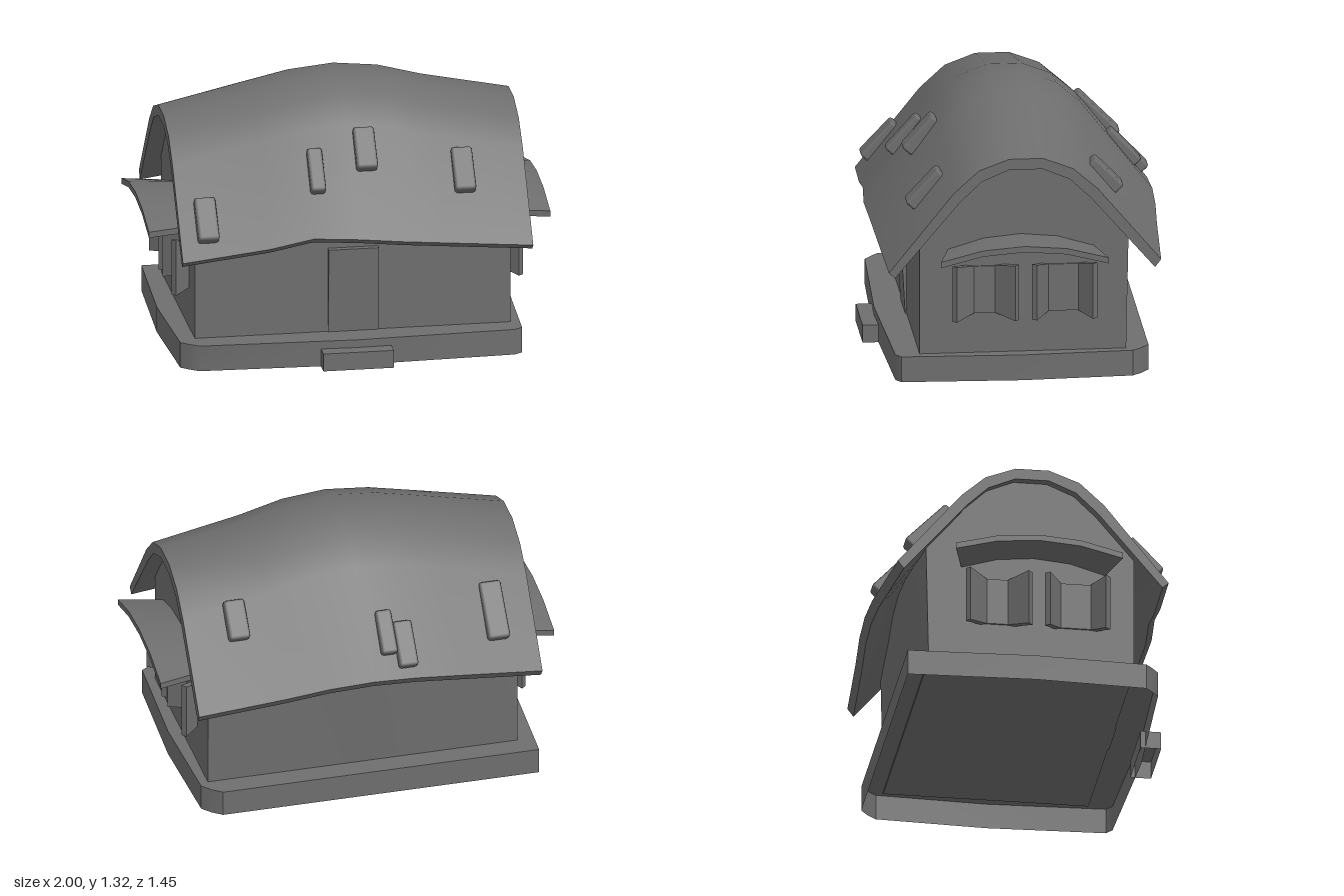
import * as THREE from 'three';
import { toCreasedNormals } from 'three/addons/utils/BufferGeometryUtils.js';
import { RoundedBoxGeometry } from 'three/addons/geometries/RoundedBoxGeometry.js';

const darkGrey = 0x6e6e6e;
const material = new THREE.MeshStandardMaterial({ color: darkGrey });
const openMaterial = new THREE.MeshStandardMaterial({ color: darkGrey, side: THREE.DoubleSide });

function addMesh(parent, name, geometry, mat = material) {
  const mesh = new THREE.Mesh(geometry, mat);
  mesh.name = name;
  parent.add(mesh);
  return mesh;
}

// Skin a row of closed rings; each ring runs counter-clockwise about the loft axis.
// Caps are strips joining opposite ring points.
function loft(rings, startCap = true) {
  const n = rings[0].length, last = (rings.length - 1) * n, index = [];
  const quad = (a, b, c, d) => index.push(a, b, c, a, c, d);
  for (let r = 0; r < rings.length - 1; r++)
    for (let j = 0; j < n; j++) {
      const k = (j + 1) % n;
      quad(r * n + j, r * n + k, (r + 1) * n + k, (r + 1) * n + j);
    }
  for (let i = 0; i < n / 2 - 1; i++) {
    const a = i, b = i + 1, c = n - 2 - i, d = n - 1 - i;
    if (startCap) quad(d, c, b, a);
    quad(last + a, last + b, last + c, last + d);
  }
  const geometry = new THREE.BufferGeometry();
  geometry.setAttribute('position', new THREE.Float32BufferAttribute(rings.flat(2), 3));
  geometry.setIndex(index);
  return toCreasedNormals(geometry, 0.6);
}

// Roof stations: x, sag (0 in the middle, 1 at the gables), lift of the front eave
const stations = [[0.875, 1, 0], [0.44, 0.48, -0.005], [0.22, 0.13, -0.015], [0, 0, 0],
  [-0.22, 0.13, 0.022], [-0.44, 0.42, 0.005], [-0.87, 1, 0]];
function sag(x) {
  const i = Math.max(1, stations.findIndex((s) => s[0] <= x));
  const [x0, s0] = stations[i - 1], [x1, s1] = stations[i];
  return s0 + (s1 - s0) * (x - x0) / (x1 - x0);
}

// Roof cross-section at the middle as [z, y], front eave to back eave.
const outer = [[0.70, 0.667], [0.34, 1.147], [0.217, 1.26], [0.066, 1.317],
  [-0.1, 1.317], [-0.25, 1.26], [-0.37, 1.155], [-0.725, 0.70]];
const inner = [[0.67, 0.64], [0.31, 1.1], [0.2, 1.205], [0.066, 1.262],
  [-0.1, 1.262], [-0.235, 1.205], [-0.34, 1.105], [-0.695, 0.66]];

function roofPoint([z, y], x, isEave) {
  const s = sag(x);
  return isEave ? [x, y - 0.09 * s, z - Math.sign(z) * 0.04 * s] : [x, y - 0.17 * s, z];
}
const roofLine = (profile, x) => profile.map((p, i) => roofPoint(p, x, i === 0 || i === 7));

function roofGeometry() {
  return loft(stations.map(([x, , lift]) => {
    const top = roofLine(outer, x), under = roofLine(inner, x);
    for (const eave of [top[0], under[0]]) {
      eave[1] += lift;
      eave[2] -= Math.abs(lift) / 2;
    }
    return [...top, ...under.reverse()];
  }));
}

// Walls follow the roof's underside and bulge a little at the back.
function wallGeometry() {
  const xs = [0.788, 0.44, 0.22, 0, -0.22, -0.44, -0.785];
  return loft(xs.map((x) => {
    const s = sag(x), top = 0.875 - 0.13 * s;
    const arch = roofLine(inner, x).slice(1, 7).map(([px, y, z]) => [px, y + 0.02, z]);
    return [[x, 0.12, 0.5], [x, top, 0.5], ...arch, [x, top, -0.56 + 0.03 * s], [x, 0.12, -0.52]];
  }));
}

// Shell open at the bottom, from a footprint of [x, z] corners.
function openShell(footprint, height) {
  return loft([0, height].map((y) => footprint.map(([x, z]) => [x, y, z])), false);
}

// Arched canopy that widens away from the wall.
function canopyGeometry() {
  const arch = [[1, 0.665], [0.5, 0.718], [0, 0.735], [-0.5, 0.718], [-1, 0.665]];
  return loft([[1, 0.415], [0.77, 0.355]].map(([x, half]) => [
    ...arch.map(([u, y]) => [x, y, u * half]),
    ...arch.map(([u, y]) => [x, y - 0.03, u * half]).reverse(),
  ]));
}

// Shutter hinged on its short edge and taller at the free edge.
function shutterGeometry(length) {
  const geometry = new THREE.BoxGeometry(length, 0.285, 0.03).translate(length / 2, 0, 0);
  const p = geometry.attributes.position;
  for (let i = 0; i < p.count; i++) if (p.getX(i) < 0.01) p.setY(i, p.getY(i) * 0.84);
  geometry.computeVertexNormals();
  return geometry;
}

function createGableSet(name) {
  const set = new THREE.Group();
  set.name = name;
  addMesh(set, 'canopy', canopyGeometry());
  // Each window: front hinge z, back hinge z, outward swing
  for (const [front, back, swing] of [[0.235, 0.125, 0.1], [-0.13, -0.29, 0.07]]) {
    const pane = addMesh(set, 'windowPane', new THREE.BoxGeometry(0.03, 0.24, front - back));
    pane.position.set(0.78, 0.455, (front + back) / 2);
    for (const [z, dz] of [[front, swing], [back, -swing]]) {
      const shutter = addMesh(set, 'shutter', shutterGeometry(Math.hypot(0.09, dz)));
      shutter.position.set(0.777, 0.455, z);
      shutter.rotation.y = -Math.atan2(dz, 0.09);
    }
  }
  return set;
}

// Raised shingle on the straight slope of the roof, its lower end kicked out.
function addShingle(parent, x, z, width, length) {
  const side = Math.sign(z);
  const eave = roofPoint(outer[z > 0 ? 0 : 7], x, true);
  const knee = roofPoint(outer[z > 0 ? 1 : 6], x, false);
  const slope = (knee[1] - eave[1]) / (knee[2] - eave[2]);
  const shingle = addMesh(parent, 'shingle', new RoundedBoxGeometry(width, 0.065, length, 1, 0.014));
  shingle.position.set(x, eave[1] + slope * (z - eave[2]) + 0.015, z);
  shingle.rotation.x = -Math.atan(slope) - side * 0.09;
}

export function createModel() {
  const house = new THREE.Group();
  house.name = 'house';

  // Plinth with bowed sides and three softened corners, and the doorstep
  addMesh(house, 'plinth', openShell([[0, 0.65], [0.79, 0.62], [0.83, 0.593], [0.855, 0],
    [0.83, -0.55], [0.79, -0.597], [0.74, -0.635], [-0.866, -0.635],
    [-0.893, 0], [-0.866, 0.55], [-0.834, 0.58], [-0.78, 0.62]], 0.13), openMaterial);
  addMesh(house, 'doorstep', openShell([[0.17, 0.722], [0.17, 0.62], [-0.18, 0.62], [-0.18, 0.722]], 0.09), openMaterial);

  addMesh(house, 'walls', wallGeometry());
  addMesh(house, 'roof', roofGeometry());

  // Door leaning slightly forward at the top
  const doorGeometry = new THREE.BoxGeometry(0.25, 0.44, 0.04);
  const p = doorGeometry.attributes.position;
  for (let i = 0; i < p.count; i++) if (p.getY(i) > 0 && p.getZ(i) > 0) p.setZ(i, 0.045);
  doorGeometry.computeVertexNormals();
  addMesh(house, 'door', doorGeometry).position.set(0.003, 0.342, 0.487);

  // Canopy and shuttered windows on both gables
  const rightGable = createGableSet('rightGable');
  rightGable.rotation.y = Math.PI;
  house.add(createGableSet('leftGable'), rightGable);

  // Scattered shingles as x, z, width, length
  const shingles = [[-0.735, 0.55, 0.105, 0.23], [-0.178, 0.48, 0.075, 0.23],
    [0.075, 0.425, 0.105, 0.22], [0.56, 0.45, 0.105, 0.23],
    [-0.67, -0.505, 0.11, 0.29], [-0.187, -0.622, 0.095, 0.23],
    [-0.1, -0.583, 0.08, 0.22], [0.62, -0.43, 0.105, 0.2]];
  for (const shingle of shingles) addShingle(house, ...shingle);

  return house;
}
